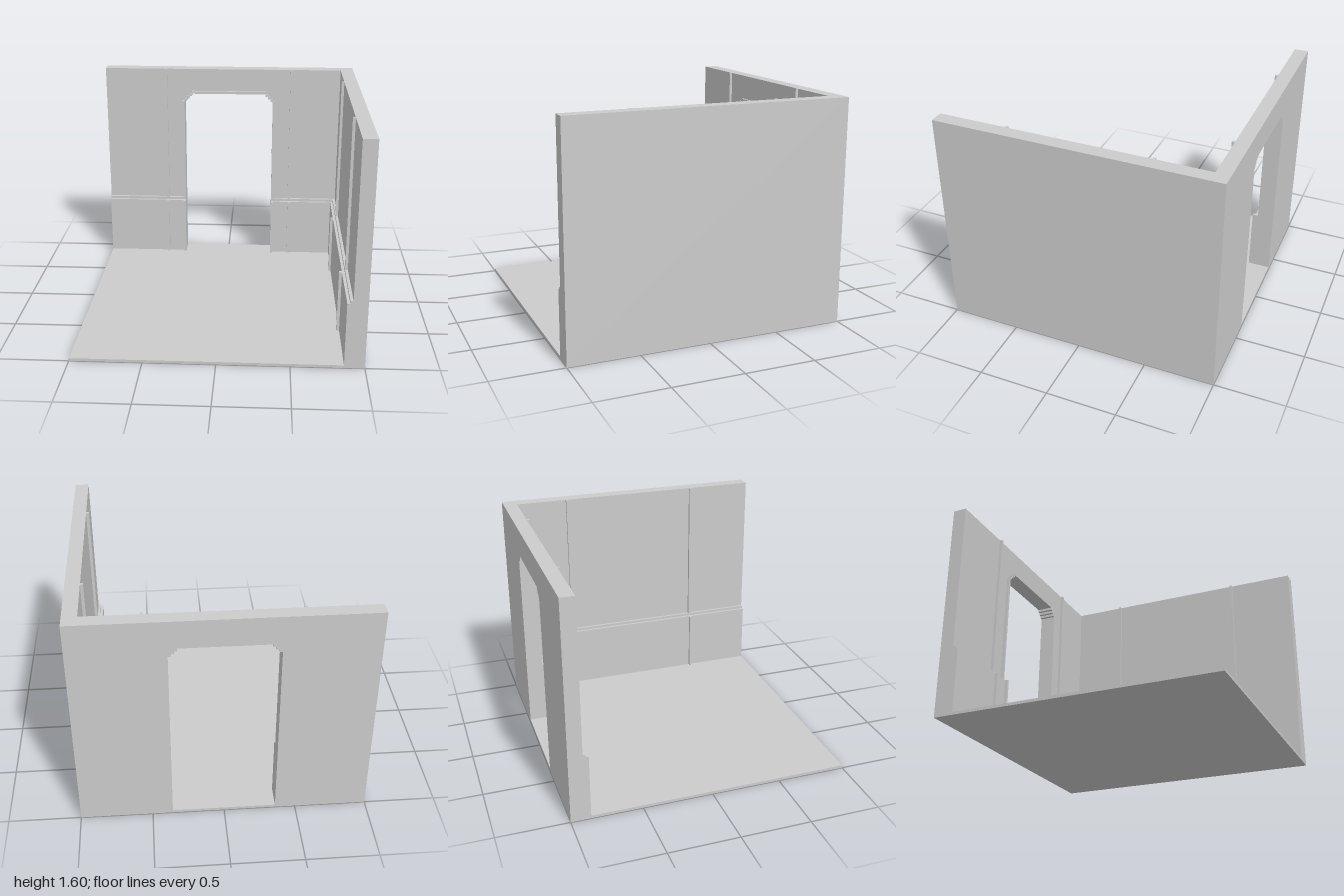
import * as THREE from 'three';

const FLOOR = 0.02, TOP = 1.6, FACE = 0.9, STEP = 0.02;

export function createModel() {
  const room = new THREE.Group();
  room.name = 'roomCorner';
  const material = new THREE.MeshStandardMaterial({ color: 0xcccccc, flatShading: true });

  const add = (name, geometry) => {
    const mesh = new THREE.Mesh(geometry, material);
    mesh.name = name;
    room.add(mesh);
    return mesh;
  };
  const box = (name, x0, x1, y0, y1, z0, z1) =>
    add(name, new THREE.BoxGeometry(x1 - x0, y1 - y0, z1 - z0))
      .position.set((x0 + x1) / 2, (y0 + y1) / 2, (z0 + z1) / 2);
  const extrude = (points, depth) => new THREE.ExtrudeGeometry(
    new THREE.Shape(points.map(([x, y]) => new THREE.Vector2(x, y))),
    { depth, bevelEnabled: false });

  // Profiles as (distance out from the wall, height)
  const wainscotProfile = [[0, FLOOR], [0.04, FLOOR], [0.04, 0.48], [0.02, 0.48], [0.02, 0.5], [0, 0.5]];
  const battenProfile = (top) =>
    [[0, FLOOR], [0.06, FLOOR], [0.06, 0.48], [0.02, 0.48], [0.02, top], [0, top]];

  // Run a profile along the back wall (x0 to x1) or the side wall (z0 to z1)
  const alongBack = (name, profile, x0, x1) => {
    const mesh = add(name, extrude(profile, x1 - x0).rotateY(-Math.PI / 2));
    mesh.position.set(x1, 0, -FACE);
  };
  const alongSide = (name, profile, z0, z1) => {
    const mesh = add(name, extrude(profile, z1 - z0).rotateY(Math.PI));
    mesh.position.set(FACE, 0, z1);
  };

  // Floor and plain side wall
  box('floor', -1, 1, 0, FLOOR, -1, 1);
  box('sideWall', FACE, 1, FLOOR, TOP, -1, 1);

  // Back wall with a doorway whose top corners are stepped
  const halfDoor = [[0.36, FLOOR]];
  for (let i = 0; i < 4; i++) {
    const x = 0.36 - i * STEP, y = 1.34 + i * STEP;
    halfDoor.push([x, y], [x - STEP, y]);
  }
  halfDoor.pop();
  const doorway = [...halfDoor, ...halfDoor.map(([x, y]) => [-x, y]).reverse()];
  const backWall = add('backWall', extrude(
    [[FACE, FLOOR], [FACE, TOP], [-1, TOP], [-1, FLOOR], ...doorway.slice().reverse()], 0.1));
  backWall.position.z = -1;

  // Wainscot with its narrower top ledge
  alongBack('backWainscotRight', wainscotProfile, -1, -0.36);
  alongBack('backWainscotLeft', wainscotProfile, 0.36, FACE);
  alongSide('sideWainscot', wainscotProfile, -FACE, 1);

  // Vertical battens and door jambs
  for (const s of [-1, 1]) {
    const c = s * 0.51, j = s * 0.37;
    alongBack('backBatten', battenProfile(TOP), c - 0.01, c + 0.01);
    alongSide('sideBatten', battenProfile(TOP), c - 0.01, c + 0.01);
    alongBack('doorJamb', battenProfile(1.34), j - 0.01, j + 0.01);

    // Stepped corner of the door frame
    for (let i = 0; i < 3; i++) {
      const x = s * (0.35 - i * STEP), y = 1.34 + i * STEP;
      box('doorFrameStep', x - 0.01, x + 0.01, y, y + STEP, -FACE, -FACE + STEP);
    }
  }
  box('doorFrameHead', -0.3, 0.3, 1.4, 1.42, -FACE, -FACE + STEP);

  return room;
}
